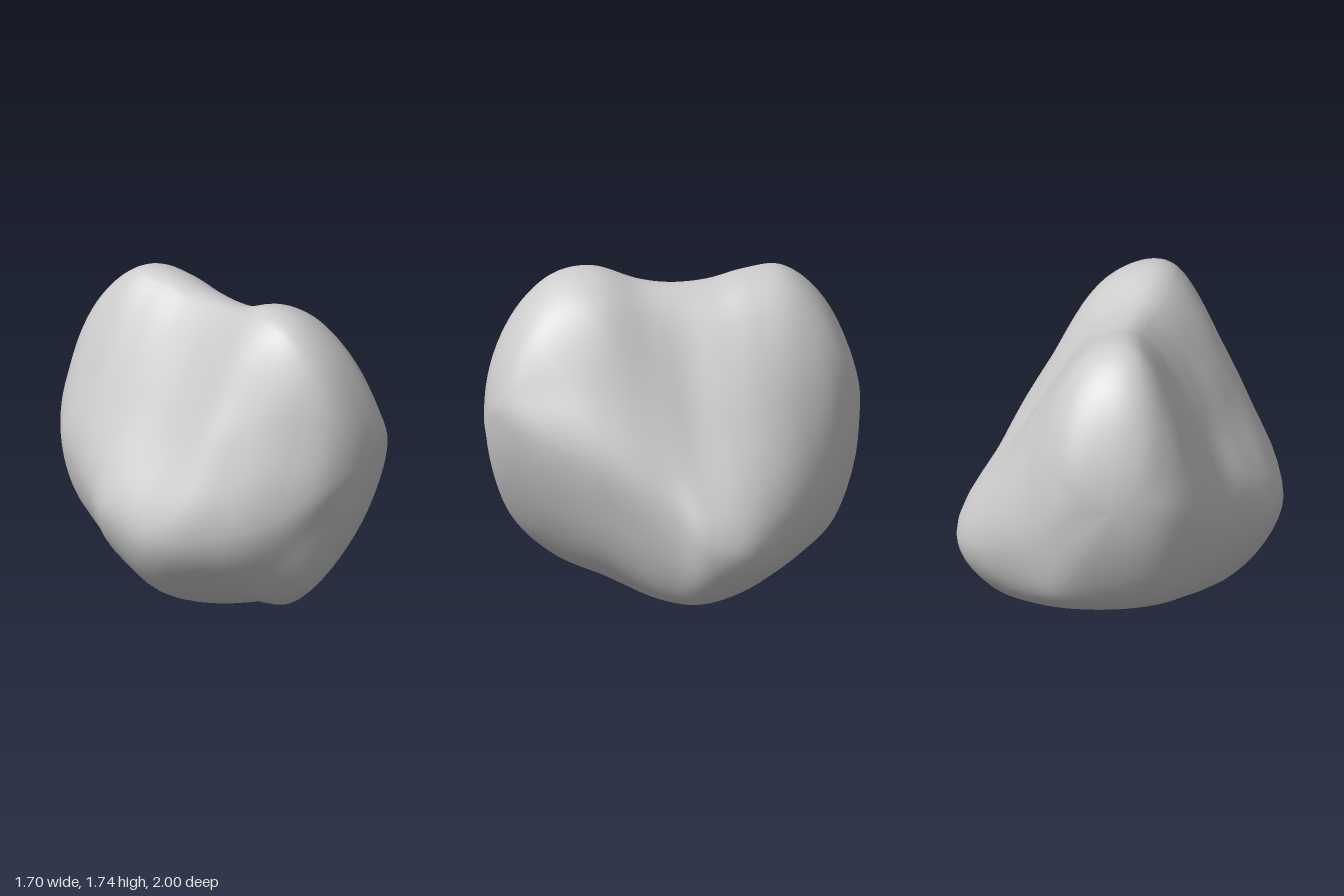
import * as THREE from 'three';
import { mergeVertices } from 'three/addons/utils/BufferGeometryUtils.js';

// Cross-sections from front to back: z, crest x, crest y, crest half width,
// left x, left y, right x, right y, base x, base y, left bulge, right bulge
const SECTIONS = [
  [0.95, -0.06, 1.27, 0.12, -0.26, 0.86, 0.17, 1.04, -0.1, 0.66, 0.03, 0.02],
  [0.8, -0.1, 1.55, 0.15, -0.47, 0.72, 0.34, 0.95, -0.22, 0.32, 0.04, 0.03],
  [0.6, -0.12, 1.71, 0.17, -0.65, 0.62, 0.48, 0.87, -0.18, 0.14, 0.05, 0.04],
  [0.4, -0.11, 1.74, 0.19, -0.78, 0.57, 0.59, 0.77, -0.02, 0.08, 0.06, 0.035],
  [0.16, -0.08, 1.66, 0.16, -0.85, 0.57, 0.72, 0.6, 0.12, 0.005, 0.04, 0.035],
  [0.0, -0.05, 1.64, 0.13, -0.85, 0.61, 0.83, 0.47, 0.15, 0.025, 0.03, 0.02],
  [-0.2, -0.03, 1.65, 0.13, -0.8, 0.64, 0.845, 0.43, 0.15, 0.08, 0.03, 0.03],
  [-0.4, -0.03, 1.69, 0.14, -0.68, 0.66, 0.74, 0.47, 0.1, 0.14, 0.04, 0.05],
  [-0.6, -0.04, 1.69, 0.16, -0.57, 0.7, 0.58, 0.55, 0.04, 0.21, 0.05, 0.06],
  [-0.8, -0.05, 1.53, 0.18, -0.47, 0.76, 0.39, 0.66, 0.0, 0.32, 0.05, 0.06],
  [-0.95, -0.05, 1.23, 0.16, -0.3, 0.9, 0.2, 0.86, -0.04, 0.62, 0.02, 0.02],
];
const FRONT = new THREE.Vector3(-0.03, 1.0, 1);
const BACK = new THREE.Vector3(-0.05, 0.94, -1);

// Corners of one section: left girdle, over the crest, right girdle, underside
function sectionCorners([z, xt, yt, w, xL, yL, xR, yR, xb, yb, bulgeL, bulgeR]) {
  const p = (x, y) => new THREE.Vector3(x, y, z);
  const left = p(xL, yL);
  const right = p(xR, yR);
  const base = p(xb, yb);
  const shoulderL = p(xt - 0.8 * w, yt - 0.25 * w);
  const shoulderR = p(xt + 1.3 * w, yt - 0.6 * w);
  const slope = (a, b, bulge) => p((a.x + b.x) / 2 + bulge, (a.y + b.y) / 2 + Math.abs(bulge) / 2);
  // The underside is cut back further towards the front
  const undercut = (side, lift, frontLift) => p(
    xb + (side.x - xb) * 0.7,
    yb + (side.y - yb) * (lift + frontLift * Math.max(0, z)),
  );
  return [
    left, slope(left, shoulderL, -bulgeL), shoulderL, p(xt, yt), shoulderR,
    slope(right, shoulderR, bulgeR), right, undercut(right, 0.16, 0.32), base, undercut(left, 0.22, 0.4),
  ];
}

function rockGeometry(rings, sides) {
  const corners = SECTIONS.map(sectionCorners);
  const n = corners[0].length;
  const last = corners.length - 1;

  // Lengthwise curves; the point beyond each pole rounds off the ends
  const tracks = corners[0].map((_, k) => {
    const opposite = (k + n / 2) % n;
    return new THREE.CatmullRomCurve3([
      corners[0][opposite], FRONT, ...corners.map((c) => c[k]), BACK, corners[last][opposite],
    ]);
  });
  const segments = last + 4;

  const positions = [];
  const index = [];
  for (let i = 0; i <= rings; i++) {
    const t = (1 + (i / rings) * (segments - 2)) / segments;
    const atPole = i === 0 || i === rings;
    const loop = atPole ? null : new THREE.CatmullRomCurve3(tracks.map((c) => c.getPoint(t)), true);
    for (let j = 0; j < sides; j++) {
      const v = atPole ? (i === 0 ? FRONT : BACK).clone() : loop.getPoint(j / sides);
      if (!atPole) {
        // Gentle weathered unevenness
        const lump = Math.sin(v.x * 9 + v.y * 4) * Math.sin(v.y * 8 - v.z * 5) * Math.sin(v.z * 8 + 1);
        v.x *= 1 + 0.01 * lump;
      }
      positions.push(v.x, Math.max(0, v.y), v.z);
      if (i < rings) {
        const a = i * sides + j;
        const b = i * sides + ((j + 1) % sides);
        if (i > 0) index.push(a, b, a + sides);
        if (i < rings - 1) index.push(b, b + sides, a + sides);
      }
    }
  }
  const geometry = new THREE.BufferGeometry();
  geometry.setAttribute('position', new THREE.Float32BufferAttribute(positions, 3));
  geometry.setIndex(index);
  const merged = mergeVertices(geometry, 1e-5);
  merged.computeVertexNormals();
  return merged;
}

export function createModel() {
  const group = new THREE.Group();
  group.name = 'rock';
  const boulder = new THREE.Mesh(
    rockGeometry(72, 80),
    new THREE.MeshStandardMaterial({ color: 0xcccccc }),
  );
  boulder.name = 'boulder';
  group.add(boulder);
  return group;
}
